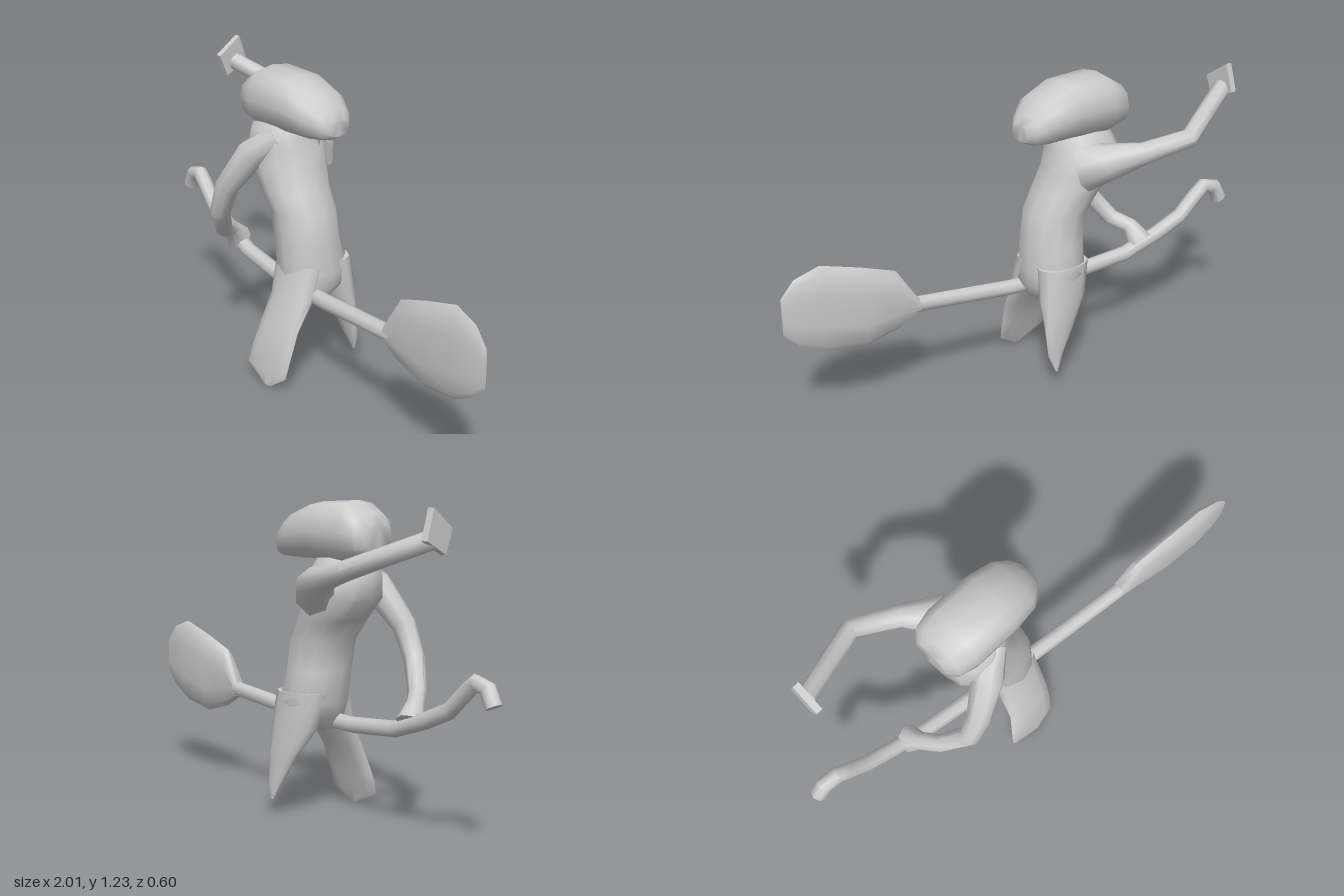
import * as THREE from 'three';
import { toCreasedNormals } from 'three/addons/utils/BufferGeometryUtils.js';

const material = new THREE.MeshStandardMaterial({ color: 0xcccccc, side: THREE.DoubleSide });
const V = (x, y, z) => new THREE.Vector3(x, y, z);

// Ring around c with half-axes u and v; power below 1 makes it boxier.
function ring(c, u, v, n = 10, power = 1) {
  const bend = (a) => Math.sign(a) * Math.abs(a) ** power;
  return Array.from({ length: n }, (_, i) => {
    const a = (i / n) * Math.PI * 2;
    return c.clone().addScaledVector(u, bend(Math.cos(a))).addScaledVector(v, bend(Math.sin(a)));
  });
}

// Skin joining equal rings, with closed ends.
function loft(name, rings, crease = 0.9) {
  const n = rings[0].length;
  const pos = rings.flat().flatMap((p) => p.toArray());
  const index = [];
  for (let i = 0; i < rings.length - 1; i++) {
    for (let j = 0; j < n; j++) {
      const a = i * n + j, b = i * n + ((j + 1) % n);
      index.push(a, b, b + n, a, b + n, a + n);
    }
  }
  const last = (rings.length - 1) * n;
  for (let j = 1; j < n - 1; j++) {
    index.push(0, j + 1, j, last, last + j, last + j + 1);
  }
  const geo = new THREE.BufferGeometry();
  geo.setAttribute('position', new THREE.Float32BufferAttribute(pos, 3));
  geo.setIndex(index);
  const mesh = new THREE.Mesh(toCreasedNormals(geo, crease), material);
  mesh.name = name;
  return mesh;
}

// Tapering tube through rows of [x, y, z, radius].
function limb(name, rows, n = 8) {
  const pts = rows.map((r) => V(r[0], r[1], r[2]));
  return loft(name, rows.map((r, i) => {
    const t = pts[Math.min(i + 1, pts.length - 1)].clone().sub(pts[Math.max(i - 1, 0)]).normalize();
    const u = t.clone().cross(V(0, 0, 1)).normalize();
    const v = t.clone().cross(u);
    return ring(pts[i], u.multiplyScalar(r[3]), v.multiplyScalar(r[3]), n);
  }));
}

// Downward stack of rows [y, centre x, half x, centre z, half z].
function stack(name, rows, n = 12, power = 0.85) {
  return loft(name, rows.map(([y, cx, hx, cz, hz]) =>
    ring(V(cx, y, cz), V(hx, 0, 0), V(0, 0, hz), n, power)));
}

export function createModel() {
  const model = new THREE.Group();
  model.name = 'broomRider';

  // Body
  model.add(stack('torso', [
    [1.06, -0.24, 0.09, 0.07, 0.07],
    [1.01, -0.25, 0.12, 0.08, 0.11],
    [0.95, -0.25, 0.14, 0.06, 0.14],
    [0.87, -0.24, 0.15, 0.06, 0.145],
    [0.78, -0.18, 0.125, 0.075, 0.135],
    [0.70, -0.13, 0.12, 0.077, 0.127],
    [0.58, -0.11, 0.12, 0.075, 0.127],
    [0.46, -0.10, 0.12, 0.06, 0.145],
    [0.40, -0.09, 0.112, 0.07, 0.13],
    [0.345, -0.09, 0.08, 0.09, 0.06],
  ]));

  // Legs, flattening to pointed ends
  model.add(stack('leftSideLeg', [
    [0.50, -0.10, 0.11, 0.12, 0.075],
    [0.36, -0.092, 0.105, 0.175, 0.052],
    [0.25, -0.10, 0.105, 0.235, 0.032],
    [0.14, -0.115, 0.113, 0.268, 0.022],
    [0.06, -0.125, 0.115, 0.288, 0.01],
    [0.005, -0.11, 0.02, 0.3, 0.003],
  ]));
  model.add(stack('rightSideLeg', [
    [0.50, -0.10, 0.115, -0.005, 0.072],
    [0.36, -0.08, 0.105, -0.03, 0.055],
    [0.25, -0.045, 0.072, -0.058, 0.028],
    [0.14, -0.015, 0.037, -0.07, 0.016],
    [0.07, -0.01, 0.006, -0.084, 0.003],
  ]));

  // Head: rows of [x, low y, high y, centre z, half z]
  const headRows = [
    [-0.42, 1.04, 1.15, 0.055, 0.075],
    [-0.39, 1.02, 1.19, 0.055, 0.115],
    [-0.32, 1.0, 1.235, 0.06, 0.13],
    [-0.14, 1.01, 1.228, 0.065, 0.13],
    [-0.03, 1.01, 1.185, 0.065, 0.115],
    [0.03, 1.015, 1.13, 0.06, 0.08],
    [0.055, 1.03, 1.095, 0.06, 0.05],
  ];
  model.add(loft('head', headRows.map(([x, lo, hi, z, h]) =>
    ring(V(x, (lo + hi) / 2, z), V(0, (hi - lo) / 2, 0), V(0, 0, h), 12, 0.75))));

  // Teeth under the snout
  for (const side of [-1, 1]) {
    const tooth = new THREE.Mesh(new THREE.ConeGeometry(0.014, 0.04, 4), material);
    tooth.name = 'tooth';
    tooth.rotation.x = Math.PI;
    tooth.position.set(-0.02, 1.005, 0.065 + side * 0.028);
    model.add(tooth);
  }

  // Arm reaching down to the broom
  model.add(limb('lowerArm', [
    [-0.20, 0.99, 0.14, 0.05],
    [-0.29, 0.91, 0.20, 0.062],
    [-0.39, 0.76, 0.25, 0.048],
    [-0.44, 0.64, 0.25, 0.042],
    [-0.52, 0.52, 0.17, 0.036],
    [-0.565, 0.49, 0.10, 0.036],
    [-0.58, 0.43, 0.05, 0.055],
  ]));

  // Arm raised behind
  model.add(limb('raisedArm', [
    [-0.20, 0.89, -0.02, 0.10],
    [-0.25, 0.92, -0.10, 0.075],
    [-0.36, 0.955, -0.185, 0.045],
    [-0.53, 1.0, -0.26, 0.038],
    [-0.68, 1.06, -0.20, 0.036],
    [-0.82, 1.115, -0.145, 0.036],
  ]));
  // Open hand: a thin four-cornered plate
  const hand = [[1.15, -0.065], [1.06, -0.10], [1.11, -0.205], [1.22, -0.17]];
  model.add(loft('raisedHand', [-0.838, -0.812].map((x) =>
    hand.map(([y, z]) => V(x, y, z)).reverse()), 0.3));

  // Broom, lying slightly askew
  const skew = (x) => 0.133 + 0.148 * x;
  const shaft = [[-0.985, 0.545], [-0.955, 0.605], [-0.90, 0.62], [-0.86, 0.585], [-0.78, 0.505],
    [-0.66, 0.45], [-0.50, 0.395], [-0.27, 0.375], [0.05, 0.38], [0.50, 0.42]];
  model.add(limb('broomHandle', shaft.map(([x, y]) => [x, y, skew(x), 0.032])));

  // Bristles: rows of [x, low y, high y, half depth]
  const bristles = [
    [0.46, 0.385, 0.45, 0.03],
    [0.54, 0.335, 0.58, 0.033],
    [0.68, 0.295, 0.63, 0.035],
    [0.84, 0.32, 0.678, 0.033],
    [0.94, 0.375, 0.645, 0.018],
    [0.995, 0.43, 0.58, 0.004],
  ];
  model.add(loft('broomBristles', bristles.map(([x, lo, hi, h]) =>
    ring(V(x, (lo + hi) / 2, skew(x)), V(0, (hi - lo) / 2, 0), V(0, 0, h), 10, 0.8))));

  return model;
}
